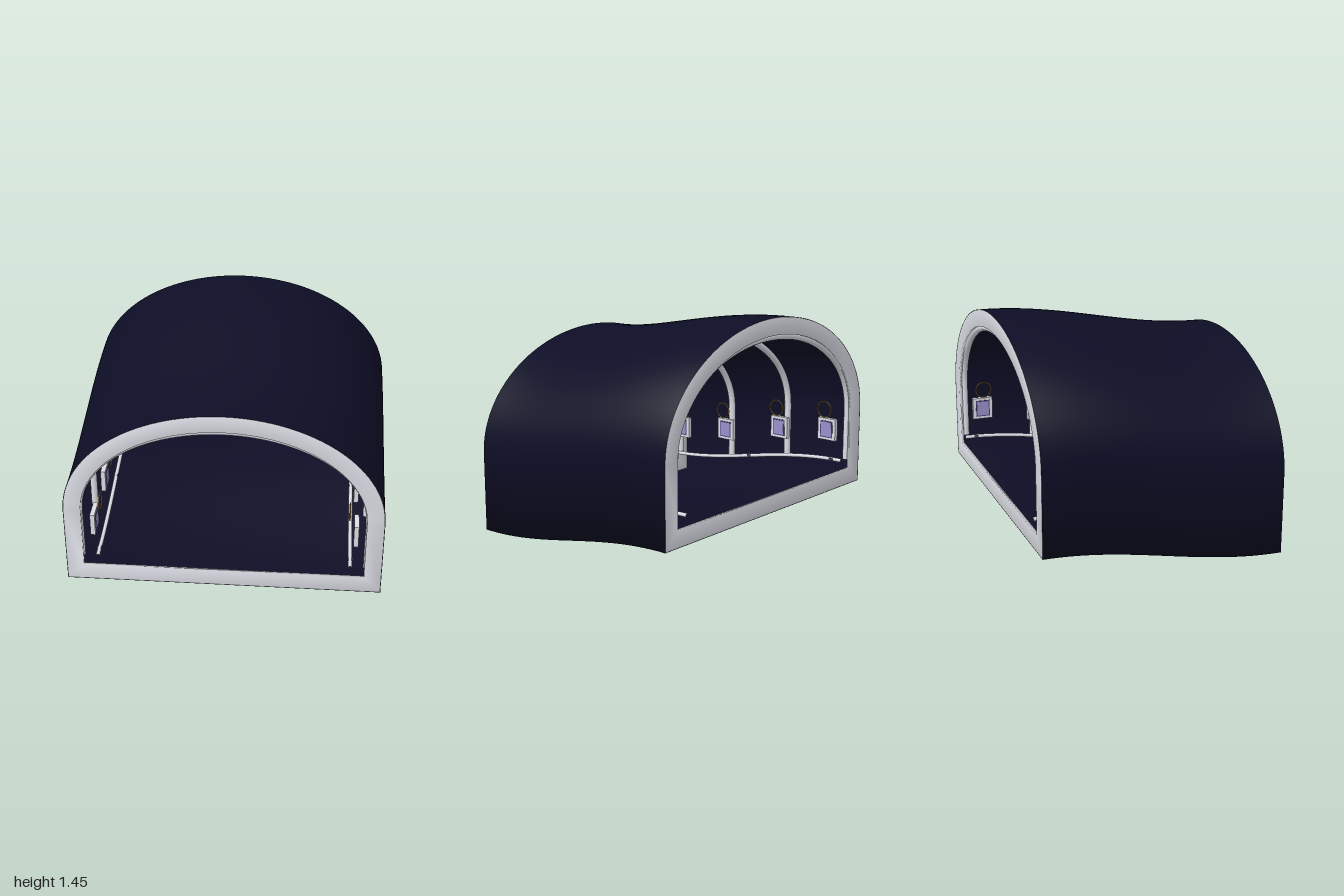
import * as THREE from 'three';

const END = 0.785;      // half length of the tunnel
const SPRING = 0.52;    // height where the arch starts
const TOP = 1.245;      // crown height

const mat = (name, color, side = THREE.FrontSide) => {
  const m = new THREE.MeshStandardMaterial({ color, side });
  m.name = name;
  return m;
};

// Height of the rising floor along the length
const rise = (z) => 0.1 * (1 - Math.sin((Math.PI * z) / (2 * END)));

// Arch from the right springing point to the left one
function archPoints(inset, n) {
  const pts = [];
  for (let i = 0; i <= n; i++) {
    const a = (Math.PI * i) / n;
    pts.push([(1 - inset) * Math.cos(a), SPRING + (TOP - SPRING - inset) * Math.sin(a)]);
  }
  return pts;
}

// Closed section: floor, walls and arch, anticlockwise from the front
function outline(inset, z) {
  const w = 1 - inset;
  const pts = [[-w, inset], [w, inset], ...archPoints(inset, 64)];
  return pts.map(([x, y]) => new THREE.Vector3(x, y + rise(z), z));
}

// Skin over closed sections, optionally joining the last to the first
function loft(sections, wrap) {
  const n = sections[0].length;
  const m = sections.length;
  const index = [];
  for (let i = 0; i < (wrap ? m : m - 1); i++) {
    for (let j = 0; j < n; j++) {
      const a = i * n + j, b = i * n + ((j + 1) % n);
      const c = ((i + 1) % m) * n + j, d = ((i + 1) % m) * n + ((j + 1) % n);
      index.push(a, c, b, b, c, d);
    }
  }
  const g = new THREE.BufferGeometry().setFromPoints(sections.flat());
  g.setIndex(index);
  g.computeVertexNormals();
  return g;
}

export function createModel() {
  const model = new THREE.Group();
  model.name = 'tunnelSection';
  const navy = mat('navy shell', 0x0d0d26, THREE.DoubleSide);
  const silver = mat('silver', 0xdcdee6);
  const purple = mat('dark purple', 0x4a4478);
  const lavender = mat('lavender screen', 0x9a90cc);
  const gold = mat('gold', 0xb98632);

  const add = (name, geometry, material, parent = model) => {
    const mesh = new THREE.Mesh(geometry, material);
    mesh.name = name;
    parent.add(mesh);
    return mesh;
  };

  // Thin outer shell
  const sections = [];
  for (let i = 0; i <= 32; i++) sections.push(outline(0, END - (2 * END * i) / 32));
  add('shell', loft(sections, false), navy);

  // End frames
  const frame = (name, front, back) => {
    const level = rise(front > 0 ? END : -END);
    const loop = (inset, z) => outline(inset, z).map((p) => p.setY(p.y - rise(z) + level));
    add(name, loft([loop(0.002, front), loop(0.002, back), loop(0.11, back), loop(0.11, front)], true), silver);
  };
  frame('frontFrame', END, END - 0.02);
  frame('backFrame', -END + 0.02, -END);

  // Arched ribs
  for (const z of [0.745, 0.25, -0.25, -0.745]) {
    const r = 0.095;
    const pts = [[1 - r, 0.165], [1 - r, 0.34], ...archPoints(r, 24), [r - 1, 0.34], [r - 1, 0.165]];
    // the crown sits a little lower than the frame opening
    const path = new THREE.CatmullRomCurve3(pts.map(([x, y]) =>
      new THREE.Vector3(x, (y > SPRING ? SPRING + (y - SPRING) * 0.955 : y) + rise(z), z)));
    add('rib', new THREE.TubeGeometry(path, 96, 0.023, 10), silver);
  }

  for (const s of [1, -1]) {
    // Handrail following the floor
    const railPts = [];
    for (let i = 0; i <= 12; i++) {
      const z = 0.78 - (1.56 * i) / 12;
      railPts.push(new THREE.Vector3(s * 0.8, 0.178 + rise(z), z));
    }
    add('handrail', new THREE.TubeGeometry(new THREE.CatmullRomCurve3(railPts), 48, 0.013, 8), silver);
    for (const z of [0.7, 0, -0.7]) {
      add('railBracket', new THREE.BoxGeometry(0.034, 0.014, 0.03), purple)
        .position.set(s * 0.802, 0.18 + rise(z), z);
    }

    // Wall panels with a screen and a ring above
    for (const z of [0.66, 0.24, -0.24, -0.64]) {
      const unit = new THREE.Group();
      unit.name = 'wallPanel';
      unit.position.set(s * 0.83, 0.377 + rise(z), z);
      add('panelBody', new THREE.BoxGeometry(0.03, 0.15, 0.14), silver, unit);
      add('screenBorder', new THREE.BoxGeometry(0.004, 0.115, 0.098), purple, unit).position.x = -s * 0.016;
      add('screen', new THREE.BoxGeometry(0.004, 0.1, 0.083), lavender, unit).position.x = -s * 0.018;
      const ring = add('ring', new THREE.TorusGeometry(0.054, 0.004, 8, 32), gold, unit);
      ring.rotation.y = Math.PI / 2;
      ring.position.set(-s * 0.045, 0.144, 0);
      model.add(unit);
    }
  }
  return model;
}
